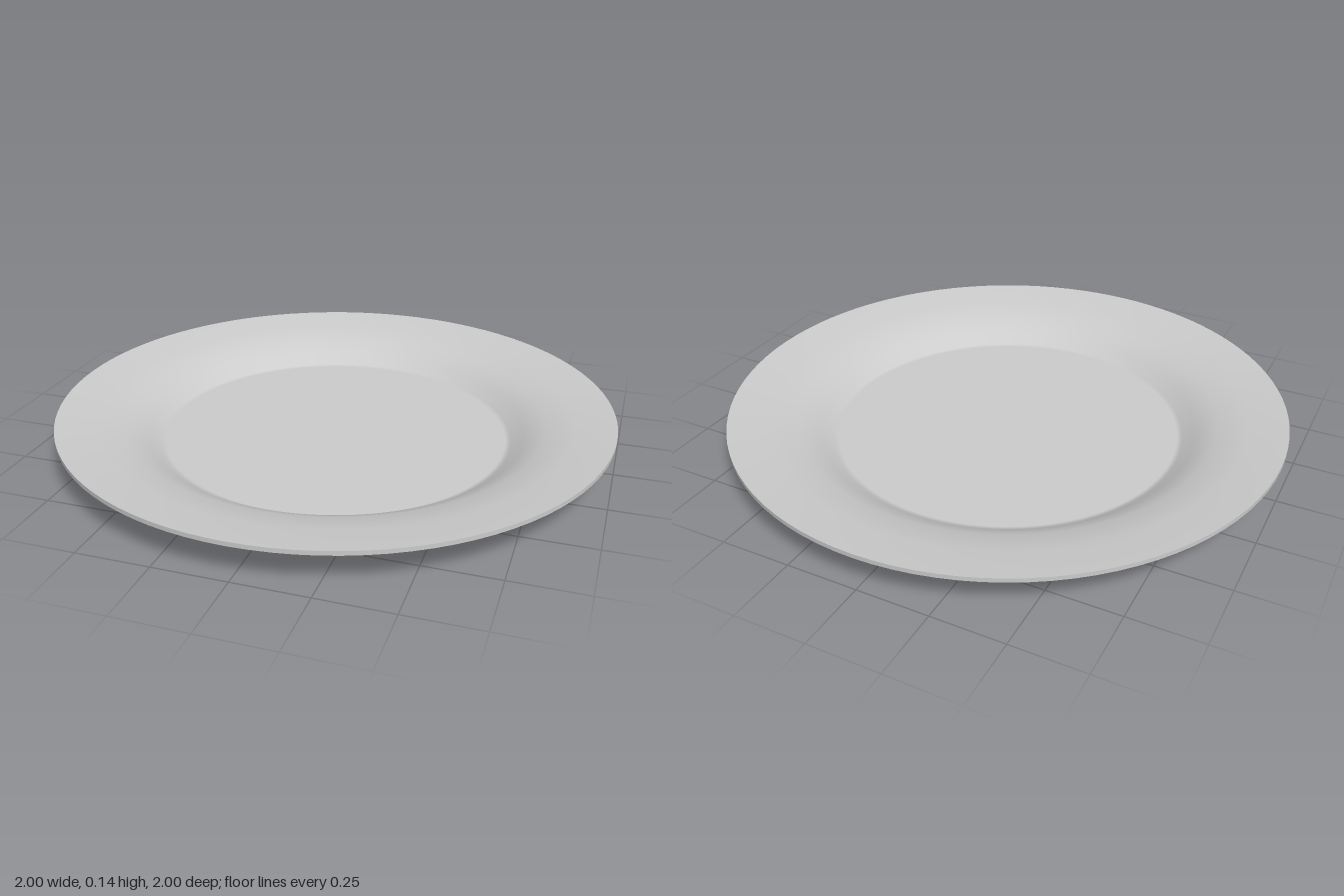
import * as THREE from 'three';

const SEGMENTS = 96;

export function createModel() {
  const plate = new THREE.Group();
  plate.name = 'plate';
  const material = new THREE.MeshStandardMaterial({ color: 0xcccccc });

  // Each surface is turned separately so the rim edges stay crisp
  const turn = (name, profile) => {
    const points = profile.map(([r, y]) => new THREE.Vector2(r, y));
    const mesh = new THREE.Mesh(new THREE.LatheGeometry(points, SEGMENTS), material);
    mesh.name = name;
    plate.add(mesh);
  };

  // Flat base and the flared outside, from the axis outwards
  turn('underside', [
    [0, 0], [0.62, 0], [0.635, 0], [0.69, 0.042], [0.765, 0.08], [0.865, 0.1], [1, 0.12],
  ]);

  // Thin vertical lip
  turn('rim', [[1, 0.12], [1, 0.135]]);

  // Broad border, curved well and flat floor, from the rim inwards
  turn('topSurface', [
    [1, 0.135], [0.86, 0.118], [0.755, 0.098], [0.68, 0.06], [0.638, 0.025], [0.62, 0.023], [0, 0.023],
  ]);

  return plate;
}
